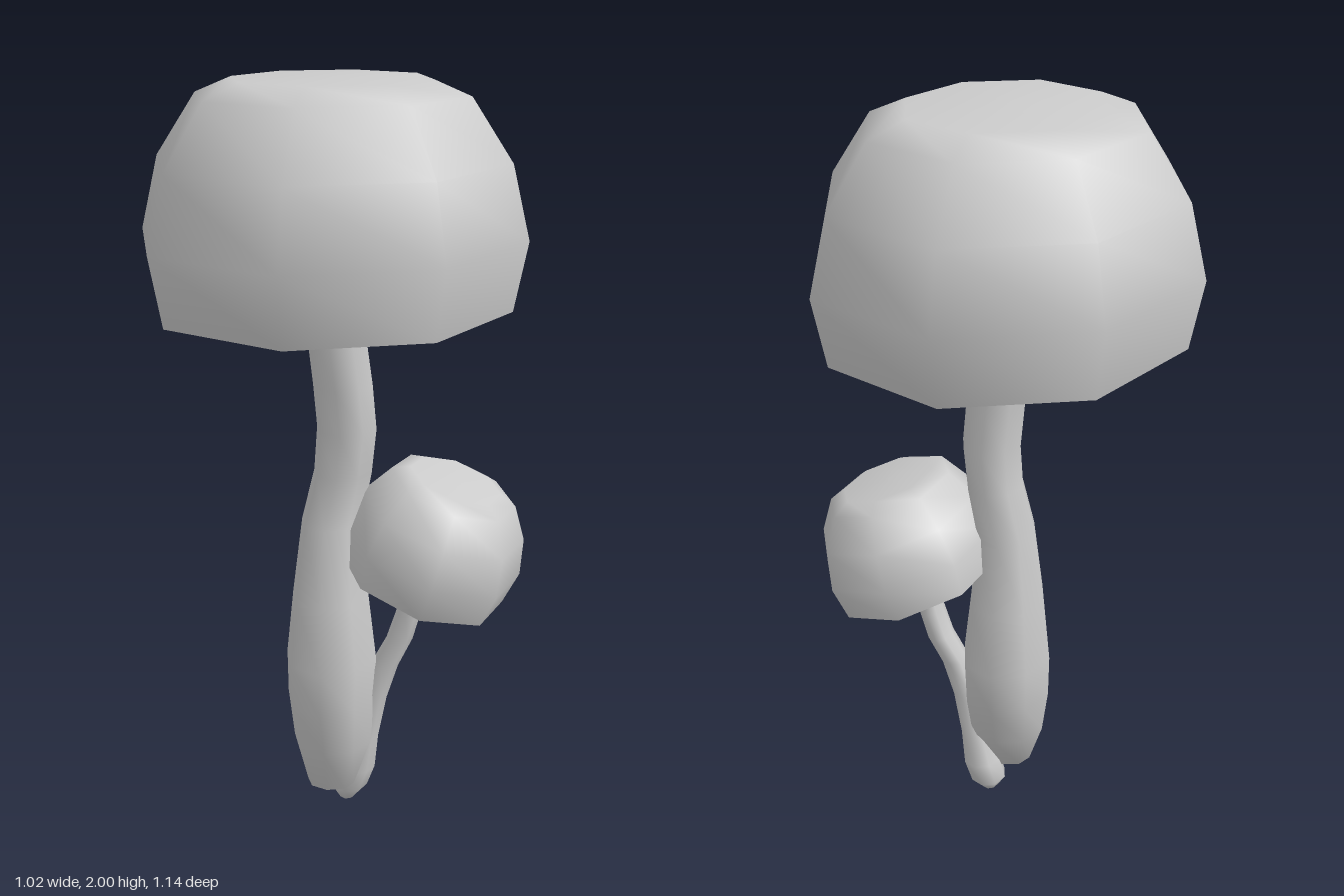
import * as THREE from 'three';

const material = new THREE.MeshStandardMaterial({ color: 0xcccccc, side: THREE.DoubleSide });

function mesh(name, geometry) {
  const m = new THREE.Mesh(geometry, material);
  m.name = name;
  return m;
}

const lathe = (profile) => new THREE.LatheGeometry(profile.map(([r, y]) => new THREE.Vector2(r, y)), 8);

// Eight-sided mushroom cap of unit radius, with its rim at y = 0
function makeCap(name) {
  const cap = new THREE.Group();
  cap.name = name;
  cap.add(mesh('capDome', lathe([[0.93, 0], [1, 0.18], [0.91, 0.37], [0.7, 0.53], [0.51, 0.57], [0, 0.572]])));
  cap.add(mesh('gills', lathe([[0.26, 0.14], [0.5, 0.13], [0.76, 0.08], [0.93, 0]])));
  cap.add(mesh('collar', lathe([[0.14, 0.02], [0.23, 0.02]])));
  cap.add(mesh('collarSide', lathe([[0.23, 0.02], [0.26, 0.14]])));
  return cap;
}

// Closed smooth skin over horizontal elliptical rings: [x, y, z, radiusX, radiusZ]
function loft(rings, sides = 8) {
  const first = rings[0], last = rings[rings.length - 1];
  const all = [[...first.slice(0, 3), 0, 0], ...rings, [...last.slice(0, 3), 0, 0]];
  const positions = [], index = [];
  all.forEach(([x, y, z, rx, rz], i) => {
    for (let j = 0; j < sides; j++) {
      const a = (j / sides) * Math.PI * 2;
      positions.push(x + rx * Math.sin(a), y, z + rz * Math.cos(a));
      if (i === all.length - 1) continue;
      const p = i * sides + j, q = i * sides + ((j + 1) % sides);
      index.push(p, q, p + sides, q, q + sides, p + sides);
    }
  });
  const g = new THREE.BufferGeometry();
  g.setAttribute('position', new THREE.Float32BufferAttribute(positions, 3));
  g.setIndex(index);
  g.computeVertexNormals();
  return g;
}

export function createModel() {
  const model = new THREE.Group();
  model.name = 'mushrooms';

  // Large mushroom
  const largeCap = makeCap('largeCap');
  largeCap.position.y = 1.428;
  largeCap.scale.set(0.505, 1, 0.572);
  model.add(largeCap);

  model.add(mesh('largeStem', loft([
    [0.01, 0.075, 0.05, 0.065, 0.055],
    [0.01, 0.2, 0.03, 0.108, 0.11],
    [0.005, 0.33, 0.022, 0.122, 0.146],
    [0.005, 0.45, 0.02, 0.125, 0.152],
    [0.003, 0.63, 0.02, 0.105, 0.13],
    [0.005, 0.84, 0.015, 0.082, 0.1],
    [0.034, 0.98, 0.01, 0.078, 0.092],
    [0.044, 1.1, 0.01, 0.08, 0.092],
    [0.034, 1.22, 0.015, 0.08, 0.092],
    [0.013, 1.4, 0.027, 0.078, 0.092],
    [0.01, 1.56, 0.028, 0.078, 0.092],
  ])));

  // Small mushroom leaning out to the side
  const smallCap = makeCap('smallCap');
  smallCap.position.set(0.245, 0.683, -0.022);
  smallCap.rotation.set(0, 0.15, -0.305, 'ZYX');
  smallCap.scale.set(0.247, 0.515, 0.296);
  model.add(smallCap);

  model.add(mesh('smallStem', loft([
    [0.045, 0.005, -0.01, 0.022, 0.03],
    [0.05, 0.04, -0.015, 0.05, 0.06],
    [0.07, 0.1, -0.015, 0.052, 0.062],
    [0.09, 0.2, -0.012, 0.042, 0.05],
    [0.115, 0.32, -0.01, 0.04, 0.045],
    [0.148, 0.42, -0.01, 0.038, 0.045],
    [0.188, 0.5, -0.018, 0.036, 0.047],
    [0.212, 0.58, -0.02, 0.034, 0.047],
    [0.23, 0.67, -0.018, 0.034, 0.045],
    [0.27, 0.78, -0.018, 0.034, 0.045],
  ])));

  return model;
}
